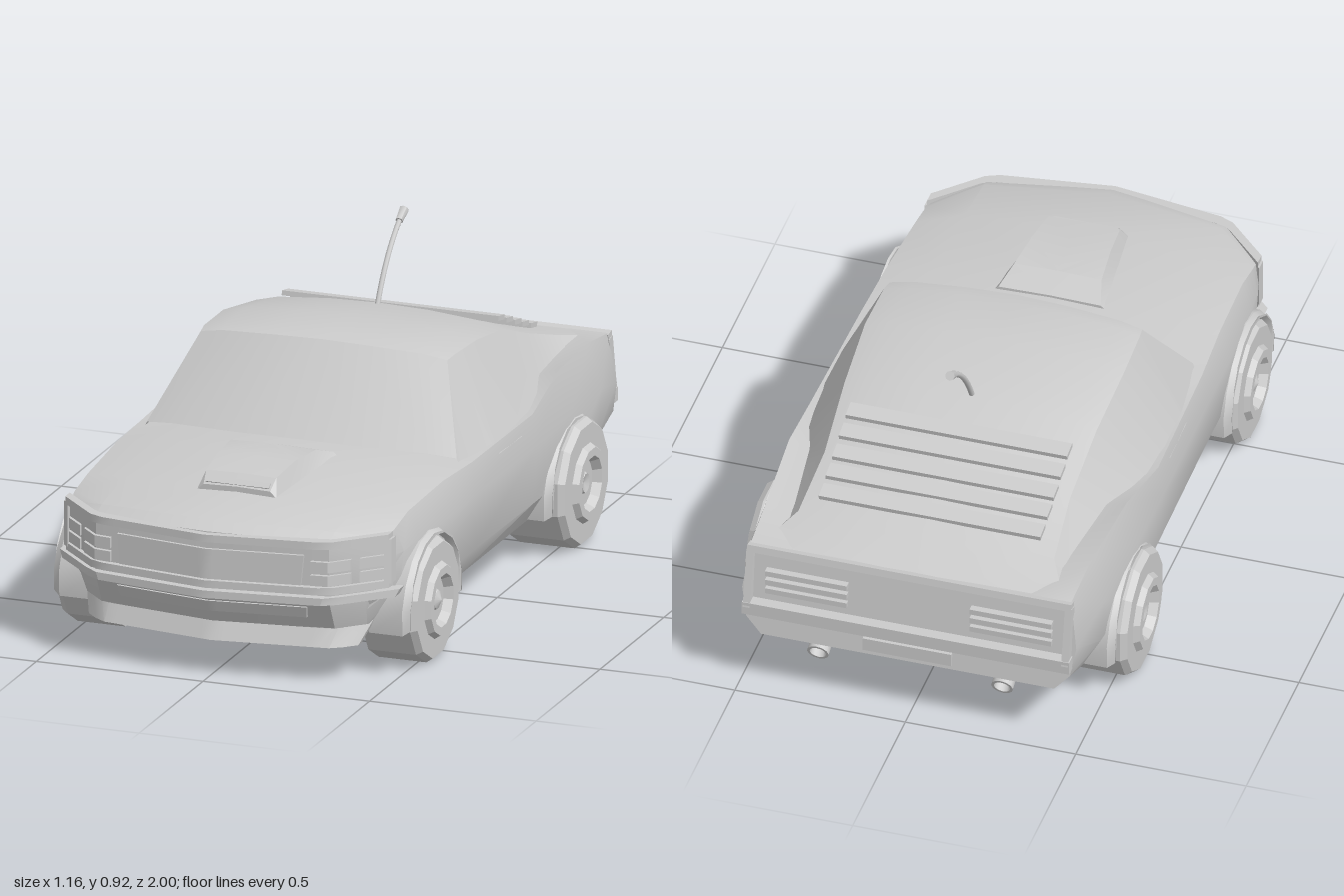
import * as THREE from 'three';
import { toCreasedNormals } from 'three/addons/utils/BufferGeometryUtils.js';

const material = new THREE.MeshStandardMaterial({ color: 0xcccccc, side: THREE.DoubleSide });

// How far the nose falls back from the centre line at a given x.
const bow = (x) => 0.05 * Math.min(Math.abs(x) / 0.35, 1) + Math.max(0, Math.abs(x) - 0.35);

// Skin over half cross-sections (bottom to top centre, listed front to back), mirrored in x.
function loft(halves, capped, crease = 0.45) {
  const pos = [];
  const tri = (...pts) => pts.forEach((p) => pos.push(...p));
  const flip = ([x, y, z]) => [-x, y, z];
  const both = (a, b, c) => { tri(a, b, c); tri(flip(a), flip(c), flip(b)); };
  for (let j = 0; j < halves.length - 1; j++) {
    const r = halves[j], s = halves[j + 1];
    for (let i = 0; i < r.length - 1; i++) {
      both(r[i], s[i], s[i + 1]);
      both(r[i], s[i + 1], r[i + 1]);
    }
  }
  const cap = (h, back) => {
    const n = h.length;
    const face = (a, b, c) => (back ? both(a, c, b) : both(a, b, c));
    face(h[0], h[1], h[n - 2]);
    face(h[0], h[n - 2], h[n - 1]);
    for (let i = 1; i < n - 3; i++) face(h[i], h[i + 1], h[n - 2]);
  };
  if (capped) { cap(halves[0], false); cap(halves[halves.length - 1], true); }
  const g = new THREE.BufferGeometry();
  g.setAttribute('position', new THREE.Float32BufferAttribute(pos, 3));
  return toCreasedNormals(g, crease);
}

export function createModel() {
  const car = new THREE.Group();
  car.name = 'car';
  const add = (name, geometry, x = 0, y = 0, z = 0) => {
    const m = new THREE.Mesh(geometry, material);
    m.name = name;
    m.position.set(x, y, z);
    car.add(m);
    return m;
  };
  const box = (name, w, h, d, x, y, z, tilt = 0) => {
    const m = add(name, new THREE.BoxGeometry(w, h, d), x, y, z);
    m.rotation.x = tilt;
    return m;
  };
  // A box that follows the bowed nose; bottomScale narrows its lower edge, rake pushes it back.
  const noseBox = (name, w, h, d, x, y, z, bottomScale = 1, rake = 0) => {
    const g = new THREE.BoxGeometry(w, h, d, 24, 1, 1);
    const p = g.attributes.position;
    for (let i = 0; i < p.count; i++) {
      const low = p.getY(i) < 0;
      const px = p.getX(i) * (low ? bottomScale : 1) + x;
      p.setXYZ(i, px, p.getY(i) + y, p.getZ(i) + z - bow(px) - (low ? rake : 0));
    }
    return add(name, toCreasedNormals(g, 0.4));
  };

  // Lower body: z, bow, floor, sill x, side x,y, widest x,y, shoulder x,y, deck edge y, deck centre y
  const sections = [
    [0.975, 1, 0.25, 0.43, 0.465, 0.29, 0.485, 0.36, 0.475, 0.415, 0.425, 0.435],
    [0.93, 1, 0.16, 0.42, 0.49, 0.25, 0.5, 0.36, 0.48, 0.43, 0.445, 0.455],
    [0.72, 0.4, 0.14, 0.45, 0.5, 0.24, 0.51, 0.37, 0.48, 0.45, 0.47, 0.48],
    [0.4, 0, 0.12, 0.46, 0.505, 0.2, 0.52, 0.37, 0.49, 0.465, 0.488, 0.5],
    [0.2, 0, 0.12, 0.46, 0.505, 0.2, 0.52, 0.37, 0.5, 0.46, 0.48, 0.49],
    [-0.25, 0, 0.12, 0.46, 0.51, 0.2, 0.525, 0.37, 0.51, 0.465, 0.46, 0.46],
    [-0.5, 0, 0.12, 0.46, 0.51, 0.2, 0.53, 0.39, 0.495, 0.52, 0.47, 0.46],
    [-0.78, 0, 0.14, 0.45, 0.505, 0.24, 0.515, 0.38, 0.475, 0.51, 0.47, 0.46],
    [-0.945, 0, 0.2, 0.43, 0.475, 0.25, 0.49, 0.34, 0.47, 0.488, 0.488, 0.488],
  ];
  add('body', loft(sections.map(([z, k, f, x1, x2, y2, x3, y3, x4, y4, ye, yc], i) => {
    const tail = i === sections.length - 1 ? 0.12 : 0;
    return [[0, f], [0.35, f], [x1, f], [x2, y2], [x3, y3], [x4, y4], [0.35, ye], [0, yc]]
      .map(([x, y]) => [x, y, z - k * bow(x) - tail * (0.488 - y)]);
  }), true));

  // Fastback cabin: z, base x,y, roof edge x,y, roof centre y, sweep of the glass
  const cabin = [
    [0.285, 0.48, 0.44, 0.465, 0.475, 0.497, 0.06],
    [0.07, 0.51, 0.43, 0.37, 0.7, 0.725, 0.03],
    [0.02, 0.512, 0.43, 0.375, 0.705, 0.735, 0.01],
    [-0.15, 0.515, 0.43, 0.38, 0.7, 0.73, 0],
    [-0.38, 0.505, 0.43, 0.37, 0.66, 0.695, 0],
    [-0.6, 0.47, 0.43, 0.36, 0.58, 0.61, 0],
    [-0.8, 0.45, 0.43, 0.375, 0.515, 0.535, 0],
    [-0.945, 0.455, 0.43, 0.45, 0.48, 0.49, 0],
  ];
  add('cabin', loft(cabin.map(([z, xb, yb, xs, ys, yc, sweep]) =>
    [[xb, yb], [xs, ys], [xs * 0.82, ys + (yc - ys) * 0.5], [xs * 0.4, yc - 0.004], [0, yc]]
      .map(([x, y]) => [x, y, z - sweep * (x / 0.47) ** 2])), false));

  // Hood scoop with a dark mouth: z, base half width, top half width, base y, top y
  add('hoodScoop', loft([
    [0.735, 0.12, 0.1, 0.46, 0.49], [0.7, 0.125, 0.105, 0.46, 0.52], [0.58, 0.138, 0.115, 0.47, 0.535],
    [0.45, 0.152, 0.128, 0.48, 0.53], [0.37, 0.163, 0.15, 0.48, 0.502],
  ].map(([z, xb, xt, yb, yt]) => [[0, yb, z], [xb, yb, z], [xb, yb + 0.01, z], [xt, yt, z], [0, yt + 0.003, z]]), true, 0.3));
  box('scoopMouth', 0.19, 0.018, 0.01, 0, 0.5, 0.722, -0.85);

  // Nose: frame, grille, bumper and chin
  noseBox('hoodLip', 0.97, 0.022, 0.035, 0, 0.421, 0.98);
  noseBox('grilleSill', 0.97, 0.022, 0.03, 0, 0.285, 0.978);
  noseBox('grille', 0.56, 0.088, 0.012, 0, 0.342, 0.978, 0.97);
  noseBox('frontBumper', 1.02, 0.022, 0.05, 0, 0.257, 0.975, 0.98);
  noseBox('lowerNose', 0.94, 0.09, 0.04, 0, 0.203, 0.953, 0.78, 0.045);
  noseBox('airSlot', 0.57, 0.034, 0.012, 0, 0.213, 0.967, 0.98, 0.015);
  noseBox('chinSpoiler', 0.87, 0.075, 0.025, 0, 0.142, 0.9, 0.93, -0.03);
  for (const s of [-1, 1]) {
    noseBox('grilleEnd', 0.016, 0.13, 0.035, s * 0.483, 0.352, 0.98);
    for (const y of [0.315, 0.355]) {
      noseBox('headlight', 0.1, 0.031, 0.014, s * 0.35, y, 0.98);
      noseBox('outerLight', 0.055, 0.031, 0.014, s * 0.447, y, 0.98);
    }
  }

  // Rear window slats, stepping down the fastback
  [[-0.5, 0.655], [-0.565, 0.63], [-0.63, 0.604], [-0.69, 0.58], [-0.755, 0.556]]
    .forEach(([z, y]) => box('windowSlat', 0.65, 0.014, 0.05, 0, y, z + 0.01, -0.2));

  // Tail: lip, bumper, frame, lamps, plate recess and exhausts
  box('tailLip', 0.95, 0.022, 0.03, 0, 0.478, -0.95, 0.2);
  box('rearBumper', 0.96, 0.04, 0.045, 0, 0.295, -0.977);
  box('plateHolder', 0.26, 0.04, 0.012, 0, 0.235, -0.979);
  for (const s of [-1, 1]) {
    box('tailFrame', 0.02, 0.18, 0.03, s * 0.467, 0.385, -0.968, 0.2);
    for (const y of [0.35, 0.38, 0.41]) box('tailLamp', 0.24, 0.017, 0.022, s * 0.3, y, -0.963);
    const pipe = add('exhaust', toCreasedNormals(new THREE.LatheGeometry(
      [[0.018, -0.06], [0.02, 0], [0.032, 0.015], [0.032, 0.05], [0.024, 0.05], [0.022, 0.01], [0, 0.01]]
        .map(([r, y]) => new THREE.Vector2(r, y)), 12), 0.6), s * 0.27, 0.172, -0.91);
    pipe.rotation.x = -Math.PI / 2 - 0.4;
  }

  // Wheels and flared arches
  const tyre = [[0, 0.38], [1, 0.38], [1, 0.535], [0.93, 0.553], [0.62, 0.553], [0.56, 0.57], [0.43, 0.57],
    [0.36, 0.545], [0.17, 0.545], [0.15, 0.552], [0, 0.552]];
  for (const [name, z, r, out] of [['front', 0.57, 0.173, -0.012], ['rear', -0.54, 0.18, 0.008]]) {
    const rv = r / Math.cos(Math.PI / 12);
    const wheel = toCreasedNormals(new THREE.LatheGeometry(
      tyre.map(([k, x]) => new THREE.Vector2(k * rv, k && x > 0.38 ? x + out : x)), 12), 0.4);
    wheel.rotateY(Math.PI / 12);
    wheel.rotateZ(-Math.PI / 2);

    // Arch outline in (z, y) about the wheel centre, spreading at its feet
    const rim = (radius, spread) => Array.from({ length: 11 }, (_, i) => {
      const a = -0.25 + (i / 10) * (Math.PI + 0.5);
      const low = 1 - Math.max(0, Math.sin(a));
      return new THREE.Vector2(Math.cos(a) * (radius + spread * low), Math.sin(a) * radius);
    });
    const shape = new THREE.Shape([...rim(0.2, 0.018), ...rim(0.183, 0.006).reverse()]);
    const arch = new THREE.ExtrudeGeometry(shape, { depth: 0.1, bevelThickness: 0.02, bevelSize: 0.012, bevelOffset: -0.012, bevelSegments: 1 });
    arch.rotateY(Math.PI / 2);
    for (const s of [-1, 1]) {
      const w = add(name + 'Wheel', wheel, 0, r, z);
      const f = add(name + 'WheelArch', toCreasedNormals(arch, 0.5), s * 0.415, 0.175, z);
      if (s < 0) w.rotation.y = f.rotation.y = Math.PI;
    }
  }

  // Curved aerial with a thick tip
  const curve = new THREE.QuadraticBezierCurve3(
    new THREE.Vector3(0, 0.68, -0.36), new THREE.Vector3(0, 0.82, -0.43), new THREE.Vector3(0, 0.89, -0.54));
  add('aerial', new THREE.TubeGeometry(curve, 10, 0.008, 8));
  const tip = add('aerialTip', toCreasedNormals(new THREE.CylinderGeometry(0.014, 0.011, 0.045, 8), 0.8), 0, 0.9, -0.556);
  tip.rotation.x = -1.05;
  return car;
}
